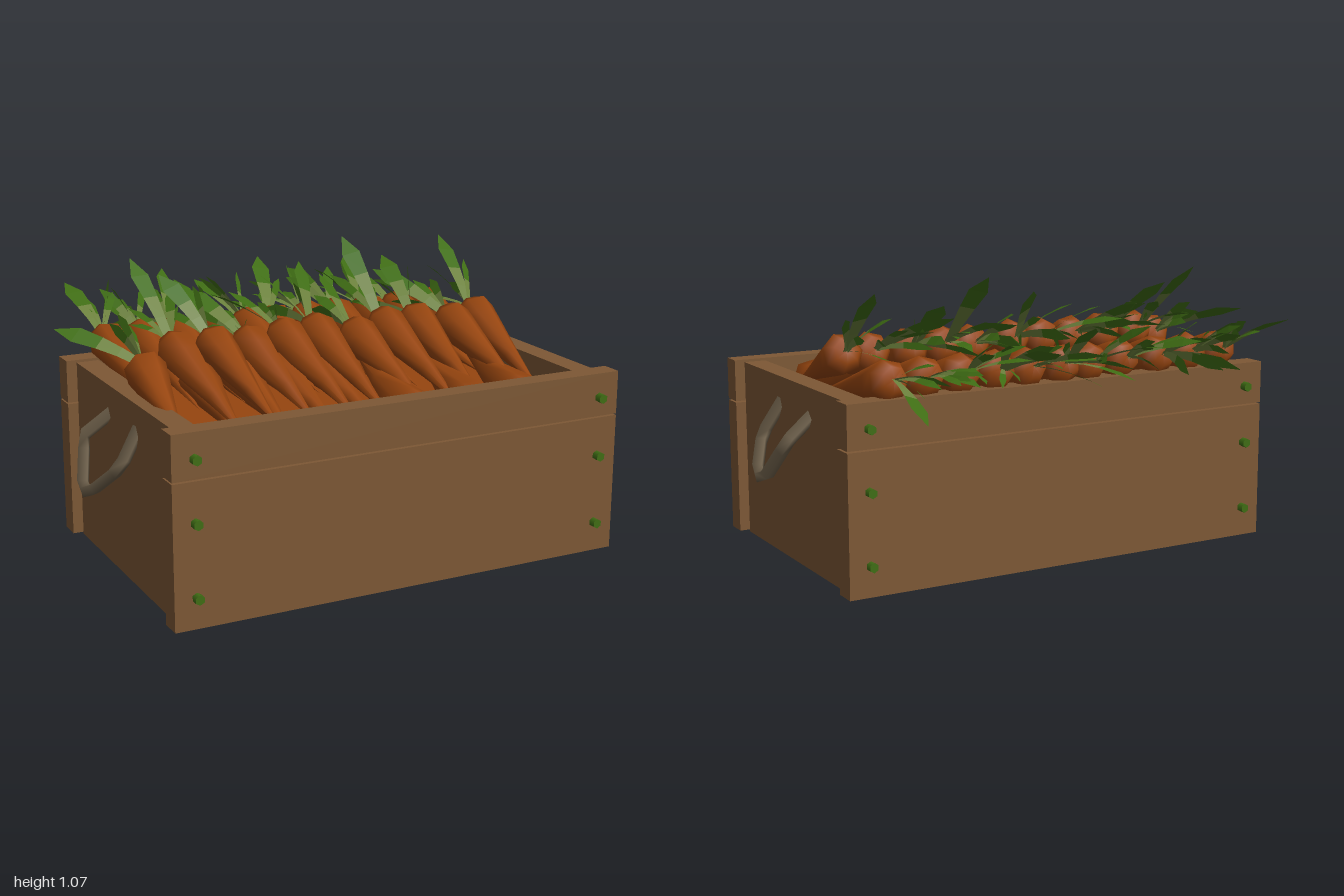
import * as THREE from 'three';
import { mergeGeometries } from 'three/addons/utils/BufferGeometryUtils.js';

const V = (x, y, z) => new THREE.Vector3(x, y, z);

export function createModel() {
  const model = new THREE.Group();
  model.name = 'carrotCrate';
  const material = (name, color, side = THREE.FrontSide) => {
    const m = new THREE.MeshStandardMaterial({ color, side });
    m.name = name;
    return m;
  };
  const wood = material('wood', 0x7d5835);
  const orange = material('carrotOrange', 0x96450f);
  const leafGreen = material('leafGreen', 0x3f6d14, THREE.DoubleSide);
  const stemGreen = material('stemGreen', 0x6b803c, THREE.DoubleSide);
  const rope = material('rope', 0x6b5d48, THREE.DoubleSide);

  let seed = 7;
  const rand = (a, b) => {
    seed = (seed * 16807) % 2147483647;
    return a + (b - a) * (seed / 2147483647);
  };
  const add = (name, geometry, mat, parent = model) => {
    const mesh = new THREE.Mesh(geometry, mat);
    mesh.name = name;
    parent.add(mesh);
    return mesh;
  };
  // box given by its extents on each axis
  const box = (name, x0, x1, y0, y1, z0, z1, mat = wood) => {
    add(name, new THREE.BoxGeometry(x1 - x0, y1 - y0, z1 - z0), mat)
      .position.set((x0 + x1) / 2, (y0 + y1) / 2, (z0 + z1) / 2);
  };

  // crate boards
  for (const [name, z0, z1] of [['front', 0.655, 0.735], ['back', -0.385, -0.3]]) {
    box(name + 'LowerBoard', -0.875, 0.875, 0.008, 0.523, z0, z1);
    box(name + 'UpperBoard', -0.875, 0.875, 0.529, 0.69, z0, z1);
  }
  box('bottomBoard', -0.75, 0.75, 0.015, 0.07, -0.3, 0.655);
  for (const s of [-1, 1]) {
    const span = (a, b) => (s > 0 ? [a, b] : [-b, -a]);
    box('sideBoard', ...span(0.75, 0.835), 0, 0.68, -0.3, 0.655);
    box('frontCornerPost', ...span(0.645, 0.75), 0.07, 0.62, 0.55, 0.655);
    box('backCornerPost', ...span(0.645, 0.75), 0.07, 0.62, -0.3, -0.2);

    // rope handle hanging from two holes
    const path = new THREE.CurvePath();
    const pts = [[0.82, 0.59, 0.305], [0.9, 0.46, 0.325], [0.972, 0.345, 0.2],
      [0.972, 0.34, 0.13], [0.92, 0.5, 0.015], [0.82, 0.575, 0.035]]
      .map(([x, y, z]) => V(s * x, y, z));
    for (let i = 1; i < pts.length; i++) path.add(new THREE.LineCurve3(pts[i - 1], pts[i]));
    add('ropeHandle', new THREE.TubeGeometry(path, 12, 0.026, 4), rope);

    // nails on the front and back
    for (const y of [0.6, 0.38, 0.12]) {
      for (const z of [0.74, -0.39]) {
        const nail = add('nail', new THREE.CylinderGeometry(0.018, 0.018, 0.045, 6), leafGreen);
        nail.rotation.x = Math.PI / 2;
        nail.position.set(s * 0.795, y, z);
      }
    }
  }

  // packed layer under the carrots
  box('carrotFill', -0.75, 0.75, 0.5, 0.58, -0.3, 0.55, orange);
  box('carrotFillFront', -0.645, 0.645, 0.5, 0.58, 0.55, 0.655, orange);

  // tapered root running from tip to crown
  function carrot(crown, tip, r, name = 'carrot') {
    const dir = crown.clone().sub(tip);
    const L = dir.length();
    const profile = [[0, 0], [0.38, 0.4], [0.78, 0.85], [0.92, 1], [1, 0.62], [0.99, 0]]
      .map(([t, w]) => new THREE.Vector2(w * r, t * L));
    const mesh = add(name, new THREE.LatheGeometry(profile, 7, rand(0, 1)), orange);
    mesh.position.copy(tip);
    mesh.quaternion.setFromUnitVectors(V(0, 1, 0), dir.normalize());
  }

  const leaves = [], stems = [];
  // flat strip through given [distance, width] sections
  function strip(base, tip, roll, sections) {
    const dir = tip.clone().sub(base);
    const unit = dir.clone().normalize();
    const across = V(1, 0, 0).cross(unit).cross(unit).normalize().applyAxisAngle(unit, roll);
    const rows = sections.map(([t, w]) => {
      const c = base.clone().addScaledVector(dir, t);
      c.y += 0.06 * t * (1 - t);
      return [c.clone().addScaledVector(across, -w), c.clone().addScaledVector(across, w)];
    });
    const tri = [];
    for (let i = 1; i < rows.length; i++) {
      const [a, b] = rows[i - 1], [c, d] = rows[i];
      tri.push(a, b, d, a, d, c);
    }
    const g = new THREE.BufferGeometry().setFromPoints(tri);
    g.computeVertexNormals();
    return g;
  }
  function blade(base, tip, roll, w) {
    stems.push(strip(base, tip, roll, [[0, w * 0.45], [0.25, w * 0.6], [0.48, w * 0.8]]));
    leaves.push(strip(base, tip, roll, [[0.48, w * 0.8], [0.75, w], [1, 0.001]]));
  }
  // one broad leaf with thinner ones around it
  function tuft(crown, tip, drop) {
    blade(crown, tip, rand(-0.5, 0.5), 0.036);
    for (let i = 0; i < 4; i++) {
      const end = crown.clone().add(V(rand(-0.14, 0.14), rand(drop, 0.15), rand(-0.34, -0.18)));
      blade(crown, end, rand(-1.5, 1.5), rand(0.012, 0.024));
    }
  }

  // front row: crown x, crown z, then leaf tip x, y, z
  const frontRow = [
    [-0.73, 0.11, -0.97, 0.86, -0.13], [-0.58, 0.01, -0.62, 1.06, -0.28],
    [-0.43, 0.01, -0.53, 1.0, -0.22], [-0.3, 0.03, -0.42, 0.93, -0.25],
    [-0.15, 0.01, -0.27, 0.92, -0.17], [-0.01, 0, 0.05, 1.0, -0.22],
    [0.13, 0.06, 0.17, 0.93, -0.28], [0.28, 0.01, 0.27, 1.07, -0.28],
    [0.42, 0.01, 0.45, 0.98, -0.28], [0.56, 0.04, 0.4, 0.93, -0.26],
    [0.69, 0.01, 0.72, 1.04, -0.29]];
  for (const [x, z, tx, ty, tz] of frontRow) {
    const y = z > 0.1 ? 0.76 : 0.805 - z * 0.3;
    const crown = V(x, y, z);
    carrot(crown, V(x + rand(-0.04, 0.04), 0.6, rand(0.54, 0.61)), 0.078);
    tuft(crown, V(tx, ty, tz), -0.02);
  }

  // back row: crown x, then leaf tip x, y, z
  const backRow = [
    [-0.7, -0.74, 0.9, -0.7], [-0.56, -0.6, 0.84, -0.6], [-0.42, -0.33, 0.92, -0.7],
    [-0.26, -0.28, 0.87, -0.7], [-0.12, -0.17, 0.85, -0.75], [0, 0.1, 0.93, -0.71],
    [0.14, 0.02, 0.8, -0.6], [0.27, 0.26, 0.86, -0.75], [0.41, 0.5, 0.9, -0.7],
    [0.55, 0.55, 0.82, -0.7], [0.69, 0.69, 0.64, -0.62]];
  for (const [x, tx, ty, tz] of backRow) {
    const crown = V(x, 0.757, -0.38);
    carrot(crown, V(x + rand(-0.03, 0.03), 0.61, rand(0.25, 0.35)), 0.076);
    tuft(crown, V(tx, ty, tz), -0.06);
  }

  // lower carrots filling the front of the crate
  for (const x of [-0.52, -0.36, -0.2, -0.05]) {
    carrot(V(x, 0.69, 0.08), V(x + rand(-0.03, 0.03), 0.57, 0.6), 0.075, 'lowerCarrot');
  }
  for (const x of [0.11, 0.35, 0.56]) {
    carrot(V(x, 0.57, 0.65), V(x, 0.7, 0.15), 0.1, 'lowerCarrot');
  }

  add('leafBlades', mergeGeometries(leaves), leafGreen);
  add('leafStems', mergeGeometries(stems), stemGreen);
  return model;
}
